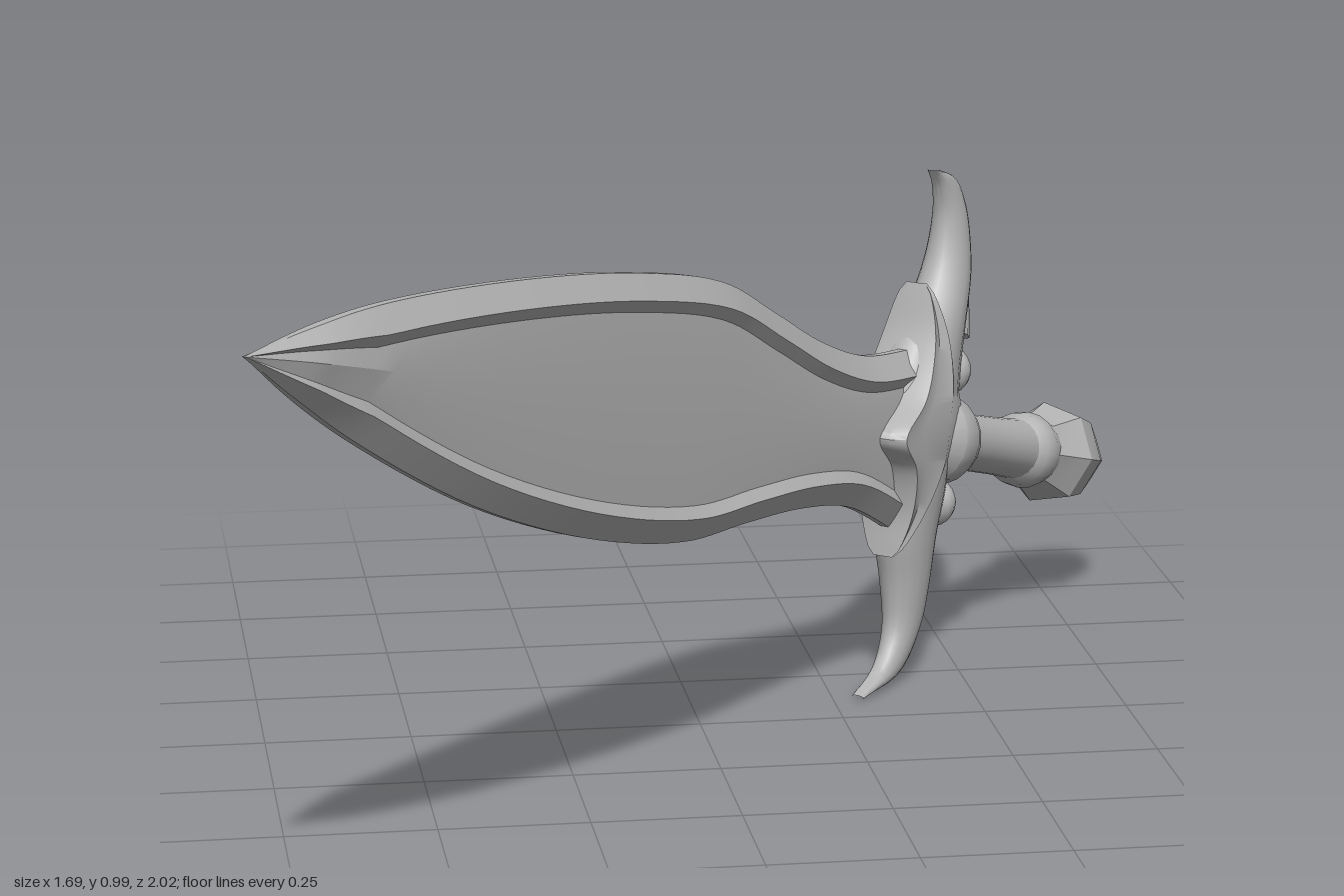
import * as THREE from 'three';
import { toCreasedNormals } from 'three/addons/utils/BufferGeometryUtils.js';

// Loft between two matching rails; profile(width, t) lists [distance fraction, half depth]
// from rail a to rail b, and is mirrored to the far side.
function loft(a, b, steps, profile, crease) {
  const rail = (pts) => new THREE.CatmullRomCurve3(pts.map(([x, y]) => new THREE.Vector3(x, y, 0)), false, 'centripetal');
  const ra = rail(a), rb = rail(b);
  const pos = [], idx = [];
  let n = 0;
  for (let i = 0; i <= steps; i++) {
    const t = i / steps;
    const p = ra.getPoint(t), q = rb.getPoint(t);
    const half = profile(p.distanceTo(q), t);
    const ring = [...half, ...half.slice().reverse().map(([f, z]) => [f, -z])];
    n = ring.length;
    for (const [f, z] of ring) pos.push(p.x + (q.x - p.x) * f, p.y + (q.y - p.y) * f, z);
  }
  for (let i = 0; i < steps; i++) {
    for (let j = 0; j < n; j++) {
      const k = (j + 1) % n, r = i * n, s = r + n;
      idx.push(r + j, r + k, s + j, r + k, s + k, s + j);
    }
  }
  const g = new THREE.BufferGeometry();
  g.setAttribute('position', new THREE.Float32BufferAttribute(pos, 3));
  g.setIndex(idx);
  return toCreasedNormals(g, crease);
}

// Rounded half section
const round = (depth) => (w, t) => Array.from({ length: 9 }, (_, k) => {
  const a = Math.PI * k / 8;
  return [0.5 - 0.5 * Math.cos(a), Math.sin(a) * depth(t)];
});

export function createModel() {
  const steel = new THREE.MeshStandardMaterial({ color: 0xb4b4b4 });
  steel.name = 'steel grey';
  const model = new THREE.Group();
  model.name = 'sword';
  const sword = new THREE.Group();
  sword.name = 'swordBody';
  sword.rotation.y = Math.atan2(0.768, 0.64); // lies along the diagonal
  model.add(sword);

  const add = (name, geometry, parent = sword) => {
    const mesh = new THREE.Mesh(geometry, steel);
    mesh.name = name;
    parent.add(mesh);
    return mesh;
  };

  // Leaf blade: bevelled rim, sunken panels and a low central ridge
  const upperEdge = [[-1.302, 0.985], [-1.15, 0.996], [-0.97, 0.997], [-0.62, 0.965], [-0.27, 0.91],
    [0, 0.842], [0.165, 0.757], [0.32, 0.675], [0.466, 0.622], [0.64, 0.6]];
  const lowerEdge = [[-1.302, 0.985], [-1.19, 0.9], [-1.04, 0.8], [-0.73, 0.63], [-0.4, 0.5],
    [-0.12, 0.43], [0.07, 0.417], [0.25, 0.4], [0.41, 0.365], [0.58, 0.28]];
  add('blade', loft(upperEdge, lowerEdge, 60, (w, t) => {
    const k = Math.min(1, 0.1 + t * 7);
    const bevel = Math.min(0.2, 0.042 / (w + 0.001)), panel = Math.min(0.3, 0.062 / (w + 0.001));
    return [[0, 0.008 * k], [bevel, 0.036 * k], [panel, 0.021 * k], [0.46, 0.029 * k],
      [1 - panel, 0.021 * k], [1 - bevel, 0.036 * k], [1, 0.008 * k]];
  }, 0.35));

  // Guard horns, thinning towards their curved tips
  const hornDepth = (t) => 0.058 * (1 - t) + 0.012;
  add('upperHorn', loft(
    [[0.56, 0.46], [0.57, 0.56], [0.635, 0.635], [0.685, 0.69], [0.718, 0.75], [0.732, 0.82], [0.722, 0.87], [0.704, 0.905]],
    [[0.74, 0.44], [0.765, 0.55], [0.79, 0.64], [0.81, 0.71], [0.812, 0.77], [0.802, 0.83], [0.775, 0.88], [0.712, 0.907]],
    28, round(hornDepth), 0.9));
  add('lowerHorn', loft(
    [[0.73, 0.45], [0.715, 0.34], [0.69, 0.26], [0.673, 0.17], [0.655, 0.1], [0.595, 0.025], [0.457, 0.004]],
    [[0.53, 0.46], [0.54, 0.36], [0.55, 0.27], [0.566, 0.18], [0.564, 0.1], [0.525, 0.045], [0.455, 0.012]],
    28, round(hornDepth), 0.9));

  // Pointed leaf that wraps the blade root on both faces, with a raised midrib
  add('guardLeaf', loft(
    [[0.655, 0.715], [0.7, 0.62], [0.725, 0.54], [0.75, 0.46], [0.7, 0.39], [0.63, 0.32], [0.545, 0.245]],
    [[0.65, 0.715], [0.622, 0.62], [0.565, 0.53], [0.48, 0.475], [0.53, 0.41], [0.548, 0.33], [0.54, 0.245]],
    36, (w, t) => {
      const d = 0.02 + 0.056 * Math.pow(Math.sin(Math.PI * t), 0.6);
      return [[0, 0], [0.1, d * 0.7], [0.4, d], [0.65, d * 0.85], [0.94, d * 0.95], [1, d * 0.6]];
    }, 0.6));

  // Thorn-like barbs on the grip side of the horns
  const barb = (name, from, to, radius) => {
    const dir = new THREE.Vector3(to[0] - from[0], to[1] - from[1], 0);
    const m = add(name, new THREE.ConeGeometry(radius, dir.length(), 10));
    m.position.set((from[0] + to[0]) / 2, (from[1] + to[1]) / 2, 0);
    m.quaternion.setFromUnitVectors(new THREE.Vector3(0, 1, 0), dir.normalize());
  };
  barb('upperBarb', [0.775, 0.6], [0.84, 0.717], 0.036);
  barb('lowerBarb', [0.65, 0.21], [0.684, 0.107], 0.034);

  // Buds where the horns meet the grip
  for (const [name, x, y] of [['upperBud', 0.75, 0.54], ['lowerBud', 0.7, 0.31]]) {
    const bud = add(name, new THREE.SphereGeometry(0.04, 16, 12));
    bud.position.set(x, y, 0);
    bud.scale.set(0.85, 1.2, 1.35);
  }

  // Hilt: its own axis continues the slope of the blade
  const hilt = new THREE.Group();
  hilt.name = 'hilt';
  hilt.position.set(0.786, 0.4, 0);
  hilt.rotation.z = -1.85;
  sword.add(hilt);
  const lathe = (pts, sides) => new THREE.LatheGeometry(pts.map(([r, y]) => new THREE.Vector2(r, y)), sides);
  add('ferrule', toCreasedNormals(lathe([[0.05, -0.15], [0.085, -0.1], [0.082, -0.05], [0.07, -0.02], [0.052, 0.01]], 20), 0.7), hilt);
  add('grip', lathe([[0.054, -0.05], [0.051, 0.06], [0.052, 0.16], [0.056, 0.27]], 24), hilt);
  add('collar', toCreasedNormals(lathe([[0.05, 0.23], [0.066, 0.25], [0.07, 0.28], [0.062, 0.31]], 20), 0.7), hilt);

  // Faceted pommel
  add('pommel', toCreasedNormals(lathe([[0.054, 0.26], [0.066, 0.31], [0.094, 0.375], [0.085, 0.43], [0.045, 0.515], [0, 0.533]], 7), 0.3), hilt);

  return model;
}
